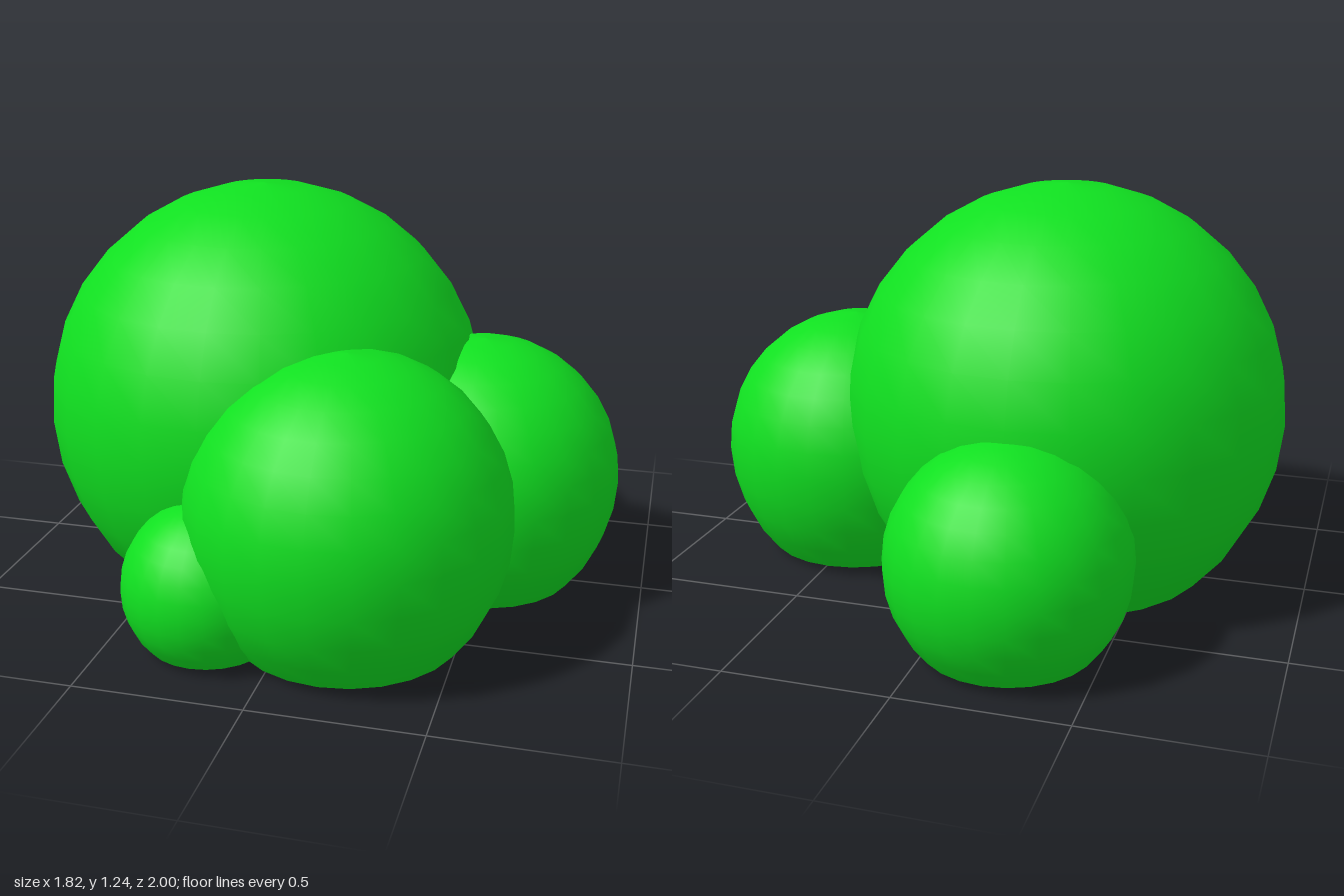
import * as THREE from 'three';

const SEGMENTS = 24;
const RIM = 0.015; // height of the soft rim around the flat base

// A ball of foliage cut flat at the ground; low is the vertical radius of its lower half.
function makeClump(name, x, y, z, r, low, material) {
  const start = -Math.asin((y - RIM) / low);
  const rimRadius = r * Math.cos(start);
  const base = new THREE.LatheGeometry(
    [[0, 0], [rimRadius - 0.06, 0], [rimRadius, RIM]].map(p => new THREE.Vector2(...p)), SEGMENTS);

  const profile = [];
  const steps = 12;
  for (let i = 0; i <= steps; i++) {
    const a = start + (Math.PI / 2 - start) * i / steps;
    const height = Math.sin(a) * (a < 0 ? low : r);
    profile.push(new THREE.Vector2(i === steps ? 0 : r * Math.cos(a), y + height));
  }
  const crown = new THREE.LatheGeometry(profile, SEGMENTS);

  const clump = new THREE.Group();
  clump.name = name;
  for (const [part, geometry] of [['crown', crown], ['base', base]]) {
    const mesh = new THREE.Mesh(geometry, material);
    mesh.name = name + ' ' + part;
    clump.add(mesh);
  }
  clump.position.set(x, 0, z);
  return clump;
}

export function createModel() {
  const bush = new THREE.Group();
  bush.name = 'bush';
  const leaf = new THREE.MeshStandardMaterial({ color: 0x10e020 });

  // name, centre x, y, z, radius, lower vertical radius
  const clumps = [
    ['mainClump', -0.22, 0.55, 0.01, 0.69, 0.72],
    ['frontClump', 0.17, 0.39, 0.52, 0.482, 0.53],
    ['leftClump', 0.48, 0.36, 0, 0.427, 0.48],
    ['backClump', -0.225, 0.275, -0.643, 0.357, 0.37],
    ['smallFrontClump', -0.205, 0.19, 0.67, 0.255, 0.255],
  ];
  for (const c of clumps) bush.add(makeClump(...c, leaf));
  return bush;
}
